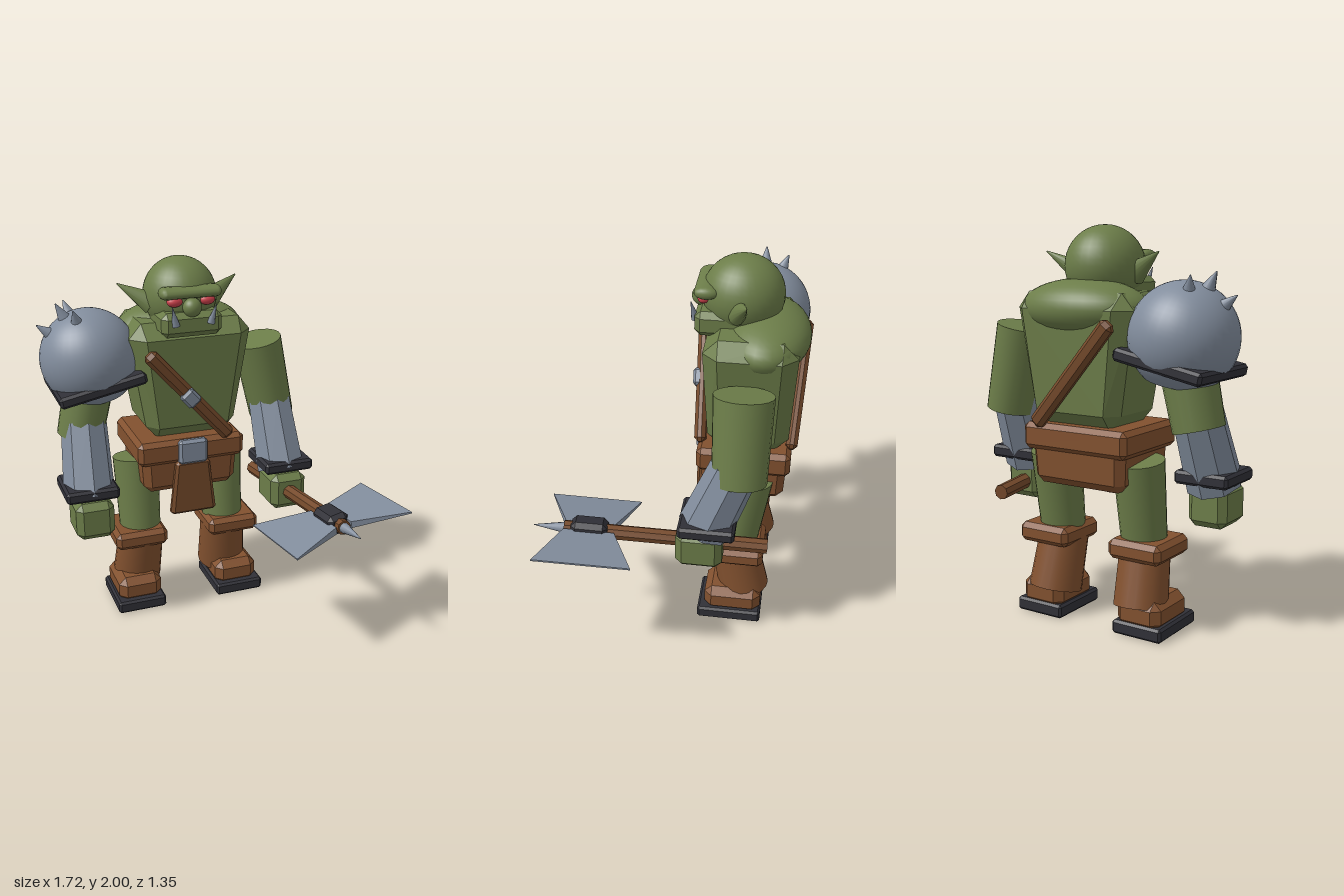
import * as THREE from 'three';
import { ConvexGeometry } from 'three/addons/geometries/ConvexGeometry.js';

const paint = (name, color) => {
  const m = new THREE.MeshStandardMaterial({ color });
  m.name = name;
  return m;
};

export function createModel() {
  const model = new THREE.Group();
  model.name = 'axeWarrior';
  const skin = paint('green skin', 0x6c7d49);
  const leather = paint('brown leather', 0x82512f);
  const strapBrown = paint('dark brown wood and strap', 0x754a2b);
  const steel = paint('steel', 0x828d9d);
  const iron = paint('dark iron', 0x303037);
  const red = paint('red eye', 0xc9404a);

  const add = (name, geo, mat, pos = [0, 0, 0], rot = [0, 0, 0], parent = model) => {
    const m = new THREE.Mesh(geo, mat);
    m.name = name;
    m.position.set(...pos);
    m.rotation.set(...rot);
    parent.add(m);
    return m;
  };

  // box with chamfered edges; tx, tz scale the bottom for a taper
  const cham = (w, h, d, c, tx = 1, tz = 1) => {
    const pts = [];
    const H = [w / 2, h / 2, d / 2];
    for (let axis = 0; axis < 3; axis++)
      for (const sx of [-1, 1]) for (const sy of [-1, 1]) for (const sz of [-1, 1]) {
        const p = [sx, sy, sz].map((s, i) => s * (H[i] - (i === axis ? 0 : c)));
        const t = 0.5 - p[1] / h;
        pts.push(new THREE.Vector3(p[0] * (1 + (tx - 1) * t), p[1], p[2] * (1 + (tz - 1) * t)));
      }
    return new ConvexGeometry(pts);
  };

  // cylinder or cone running from a to b
  const rod = (name, a, b, ra, rb, sides, mat, flat = false, parent = model) => {
    const A = new THREE.Vector3(...a), B = new THREE.Vector3(...b);
    const dir = B.clone().sub(A);
    let geo = new THREE.CylinderGeometry(rb, ra, dir.length(), sides);
    if (flat) {
      geo = geo.toNonIndexed();
      geo.computeVertexNormals();
    }
    const m = add(name, geo, mat, A.clone().add(B).multiplyScalar(0.5).toArray(), [0, 0, 0], parent);
    m.quaternion.setFromUnitVectors(new THREE.Vector3(0, 1, 0), dir.normalize());
    return m;
  };

  const ball = (name, r, mat, pos, scale = [1, 1, 1]) => {
    const m = add(name, new THREE.SphereGeometry(r, 32, 20), mat, pos);
    m.scale.set(...scale);
    return m;
  };

  const C = -0.105; // body mid-line

  // torso
  add('torso', cham(0.7, 0.66, 0.48, 0.08, 0.69, 0.86), skin, [-0.078, 1.35, -0.385]);
  ball('shoulderHump', 1, skin, [-0.075, 1.6, -0.45], [0.35, 0.145, 0.222]);

  // head and face
  ball('head', 0.2, skin, [C, 1.8, -0.32], [0.98, 1, 1.04]);
  add('jaw', cham(0.33, 0.13, 0.32, 0.03), skin, [C, 1.685, -0.25]);
  const brow = add('brow', new THREE.CapsuleGeometry(0.032, 0.27, 6, 14), skin,
    [C, 1.848, -0.145], [0, 0, Math.PI / 2]);
  brow.scale.z = 1.9;
  ball('nose', 0.05, skin, [C, 1.775, -0.11]);
  for (const s of [-1, 1]) {
    ball('eye', 0.042, red, [C + s * 0.088, 1.805, -0.13], [1, 0.65, 0.75]);
    rod('tusk', [C + s * 0.094, 1.69, -0.09], [C + s * 0.118, 1.79, -0.07], 0.021, 0.002, 10, steel);
    const ear = rod('ear', [C + s * 0.16, 1.765, -0.305], [C + s * 0.33, 1.87, -0.36], 0.062, 0.003, 14, skin);
    ear.scale.z = 0.75;
  }

  // diagonal strap, front and back
  add('strapFront', cham(0.078, 0.69, 0.06, 0.02), strapBrown, [-0.118, 1.292, -0.12], [0.07, 0, 0.726]);
  add('strapBack', cham(0.078, 0.69, 0.06, 0.02), strapBrown, [-0.118, 1.292, -0.63], [-0.07, 0, 0.726]);
  add('strapBuckle', cham(0.085, 0.095, 0.055, 0.014), steel, [-0.122, 1.288, -0.1], [0.07, 0, 0.726]);

  // belt and hips
  add('belt', cham(0.605, 0.135, 0.49, 0.025), leather, [C, 0.972, -0.37]);
  add('beltBuckle', cham(0.165, 0.14, 0.05, 0.016), steel, [C, 0.972, -0.125]);
  add('hips', cham(0.55, 0.22, 0.45, 0.04, 0.95, 0.95), leather, [C, 0.84, -0.37]);
  add('loincloth', cham(0.19, 0.31, 0.05, 0.014, 1.4, 1), strapBrown, [C, 0.76, -0.135]);

  // legs and boots
  for (const s of [-1, 1]) {
    const X = (d) => C + s * d;
    rod('thigh', [X(0.25), 0.42, -0.345], [X(0.25), 0.87, -0.405], 0.115, 0.13, 20, skin);
    rod('bootShaft', [X(0.265), 0.13, -0.405], [X(0.25), 0.42, -0.34], 0.138, 0.128, 20, leather);
    add('bootCuff', cham(0.3, 0.1, 0.31, 0.025), leather, [X(0.275), 0.43, -0.352]);
    add('foot', cham(0.25, 0.15, 0.31, 0.04), leather, [X(0.293), 0.115, -0.35]);
    add('sole', cham(0.28, 0.07, 0.35, 0.012), iron, [X(0.298), 0.035, -0.335]);
  }

  // arms
  for (const s of [-1, 1]) {
    const X = (d) => C + s * d;
    const side = s > 0 ? 'left' : 'right';
    rod(side + 'UpperArm', [X(0.565), 1.05, -0.375], [X(0.468), 1.49, -0.375], 0.125, 0.137, 20, skin).scale.z = 1.1;
    rod(side + 'Bracer', [X(0.565), 0.755, -0.21], [X(0.545), 1.125, -0.355], 0.142, 0.126, 8, steel, true);
    add(side + 'WristBand', cham(0.288, 0.066, 0.288, 0.014), iron, [X(0.567), 0.803, -0.228]);
    add(side + 'Hand', cham(0.21, 0.21, 0.24, 0.035), skin, [X(0.563), 0.655, -0.188]);
  }

  // shoulder armour with spikes
  const S = [-0.592, 1.478, -0.39];
  add('pauldron', new THREE.SphereGeometry(0.265, 36, 24, 0, Math.PI * 2, 0, Math.PI * 0.8), steel, S, [0, 0, 0.2]);
  add('pauldronRim', cham(0.475, 0.062, 0.475, 0.014), iron, [-0.574, 1.36, -0.385], [0, 0, 0.2]);
  for (const d of [[-0.27, 0.2, 0], [-0.165, 0.305, 0], [-0.1, 0.29, 0.125], [-0.1, 0.29, -0.125]])
    rod('spike', d.map((v, i) => S[i] + v * 0.72), d.map((v, i) => S[i] + v), 0.037, 0.003, 12, steel);

  // double-bladed axe, handle along its own z
  const axe = new THREE.Group();
  axe.name = 'axe';
  axe.position.set(0.495, 0.692, 0.385);
  axe.rotation.set(-0.07, 0.086, 0.165, 'YXZ');
  model.add(axe);
  rod('axeHandle', [0, 0, -0.92], [0, 0, 0.13], 0.04, 0.04, 8, strapBrown, true, axe);
  add('axeHead', cham(0.125, 0.115, 0.19, 0.025), iron, [0, 0, 0], [0, 0, 0], axe);
  rod('axeSpike', [0, 0, 0.1], [0, 0, 0.288], 0.034, 0.002, 10, steel, false, axe);
  for (const s of [-1, 1]) {
    // wedge: wide and thin at the cutting edge
    const pts = [];
    for (const a of [-1, 1]) for (const b of [-1, 1]) {
      pts.push(new THREE.Vector3(s * 0.045, a * 0.019, b * 0.13));
      pts.push(new THREE.Vector3(s * 0.347, a * 0.004, b * 0.243));
    }
    add('axeBlade', new ConvexGeometry(pts), steel, [0, 0, 0], [0, 0, 0], axe);
  }
  return model;
}
